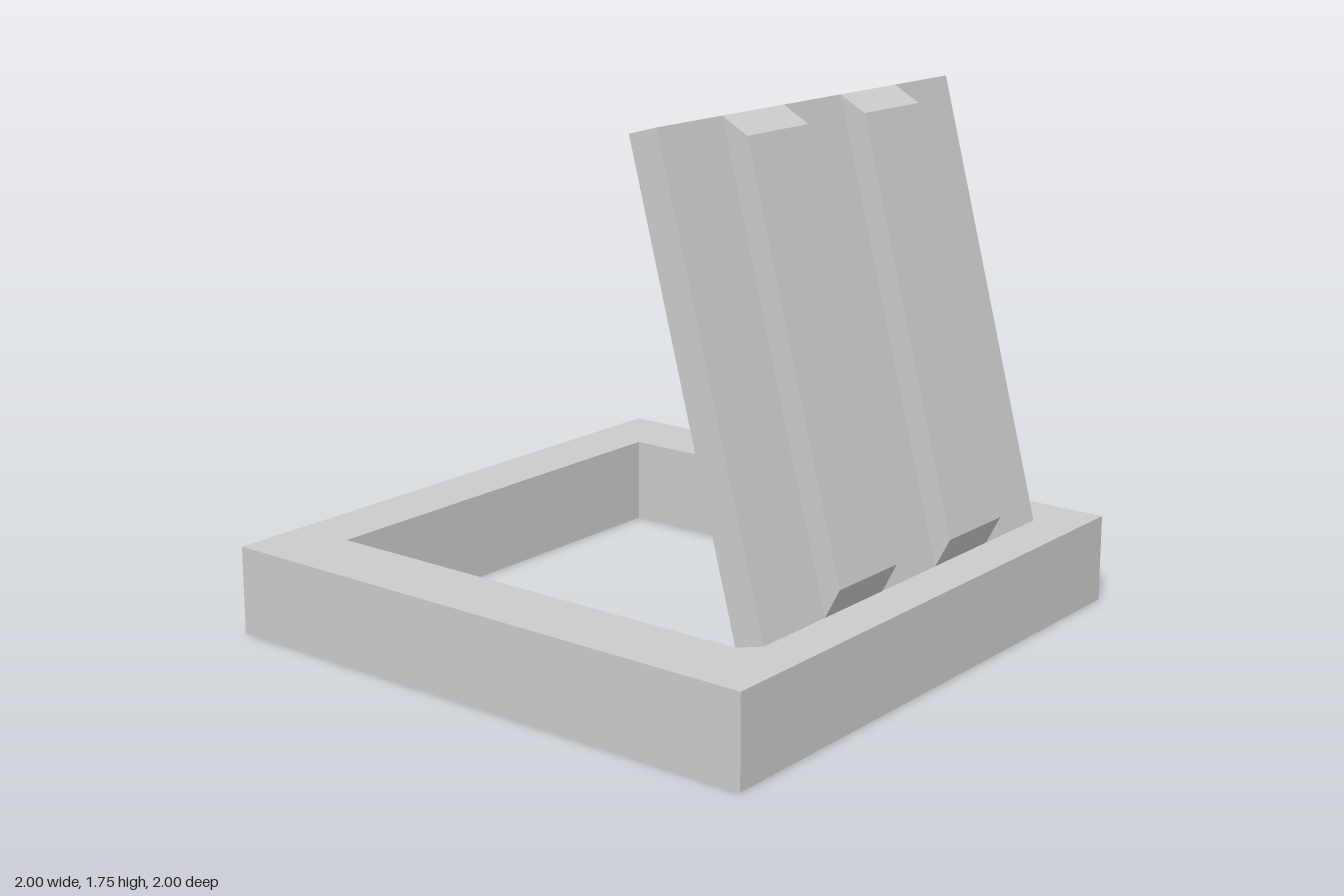
import * as THREE from 'three';

const material = new THREE.MeshStandardMaterial({ color: 0xcccccc, flatShading: true });

const outline = (points) => points.map(([a, b]) => new THREE.Vector2(a, b));

// Extrudes a side profile of [z, y] points across the width, centred on x
function sideProfile(name, points, width, x = 0) {
  const geometry = new THREE.ExtrudeGeometry(new THREE.Shape(outline(points)), { depth: width, bevelEnabled: false });
  geometry.translate(0, 0, -width / 2);
  geometry.rotateY(-Math.PI / 2);
  const mesh = new THREE.Mesh(geometry, material);
  mesh.name = name;
  mesh.position.x = x;
  return mesh;
}

const square = (h) => outline([[-h, -h], [h, -h], [h, h], [-h, h]]);

export function createModel() {
  const model = new THREE.Group();
  model.name = 'openHatch';

  // Square frame with a through opening
  const frameShape = new THREE.Shape(square(1));
  const opening = outline([[-0.743, -0.787], [-0.743, 0.787], [0.743, 0.787], [0.743, -0.787]]);
  frameShape.holes.push(new THREE.Path(opening));
  const frameGeometry = new THREE.ExtrudeGeometry(frameShape, { depth: 0.293, bevelEnabled: false });
  frameGeometry.rotateX(-Math.PI / 2);
  const frame = new THREE.Mesh(frameGeometry, material);
  frame.name = 'frame';
  model.add(frame);

  // Lid tilted open, hinged on the front edge of the opening
  const lid = new THREE.Group();
  lid.name = 'lid';
  lid.add(sideProfile('lidPanel', [[0.787, 0.293], [0.887, 0.32], [0.505, 1.75], [0.405, 1.723]], 1.486));

  // Two raised ribs with chamfered ends
  const ribProfile = [[0.887, 0.32], [0.937, 0.415], [0.594, 1.7], [0.505, 1.75]];
  for (const side of [-1, 1]) {
    lid.add(sideProfile(side > 0 ? 'leftRib' : 'rightRib', ribProfile, 0.298, side * 0.296));
  }
  model.add(lid);
  return model;
}
